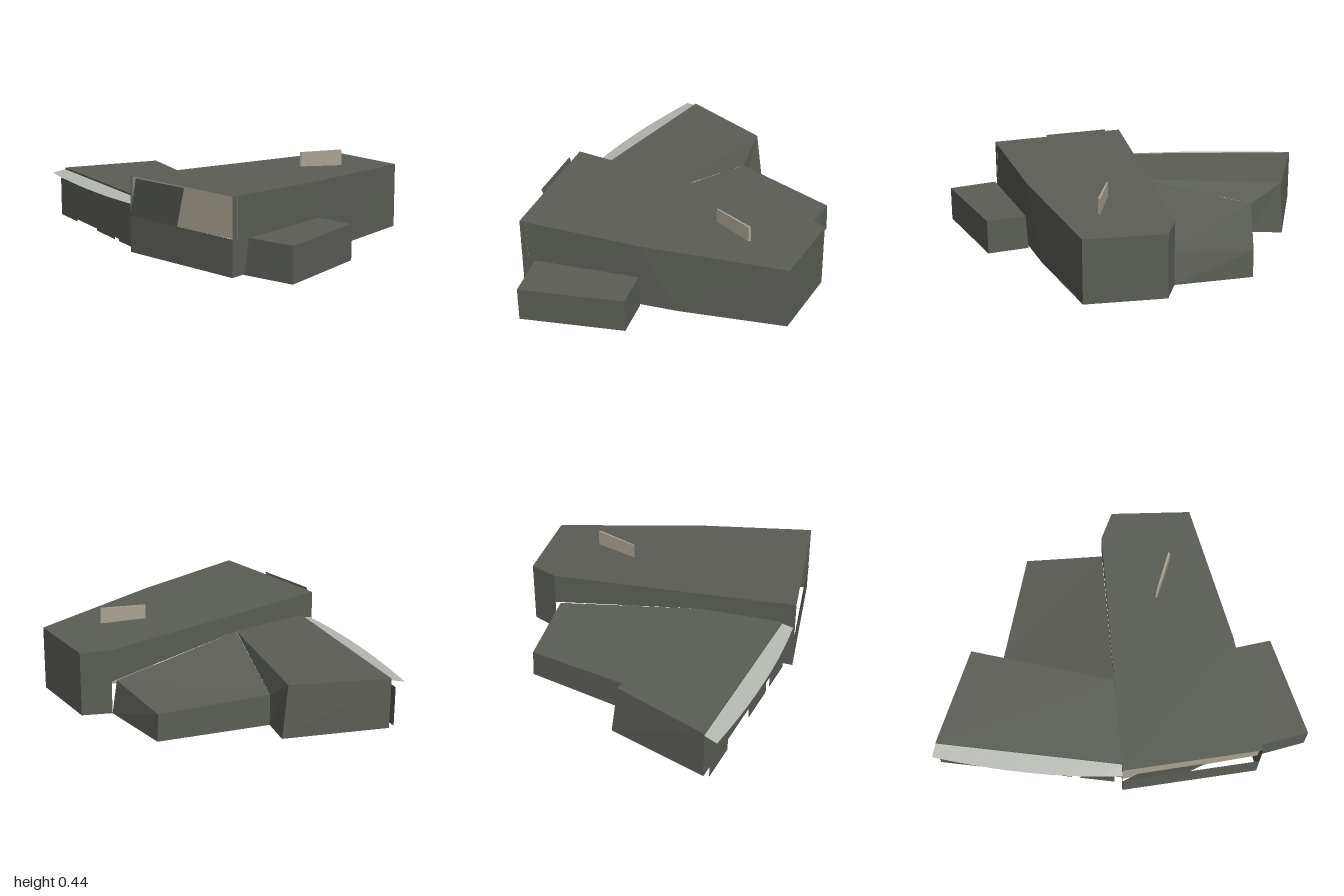
import * as THREE from 'three';

const paint = (name, color) => {
  const m = new THREE.MeshStandardMaterial({ color, side: THREE.DoubleSide });
  m.name = name;
  return m;
};

// Flat polygons, fan-triangulated, listed counter-clockwise from outside
function surface(name, material, polygons) {
  const pos = [];
  for (const p of polygons)
    for (let i = 1; i < p.length - 1; i++) pos.push(...p[0], ...p[i], ...p[i + 1]);
  const g = new THREE.BufferGeometry();
  g.setAttribute('position', new THREE.Float32BufferAttribute(pos, 3));
  g.computeVertexNormals();
  const mesh = new THREE.Mesh(g, material);
  mesh.name = name;
  return mesh;
}

// Upright wall between two plan points [x, z]
const wall = (a, b, y0, ya, yb = ya) =>
  [[a[0], y0, a[1]], [b[0], y0, b[1]], [b[0], yb, b[1]], [a[0], ya, a[1]]];

export function createModel() {
  const dark = paint('dark grey cladding', 0x5b5d56);
  const beige = paint('beige panel', 0xaaa293);
  const pale = paint('pale canopy', 0xb6b8b2);

  const model = new THREE.Group();
  model.name = 'building';
  const add = (...a) => model.add(surface(...a));

  // Tall hall with a roof falling gently to the back
  const ry = z => 0.35 + 0.05 * (z + 0.75) / 1.48;
  const up = ([x, z]) => [x, ry(z), z];
  const FL = [0, 0.73], FR = [0.73, 0.64], K = [0.61, 0], BR = [0.41, -0.75];
  const BL = [-0.02, -0.75], ML = [-0.08, -0.6];
  const J = [-0.03, 0.2, 0.28];
  const kinkBase = [0.56, 0, -0.2], frBase = [0.73, 0, 0.64];
  add('hallRoof', dark, [[FL, FR, K, BR, BL, ML].map(up)]);
  add('hallWalls', dark, [
    wall(FL, FR, 0, 0.19),
    [frBase, up(K), up(FR)],
    [frBase, kinkBase, up(K)],
    [kinkBase, [0.41, 0, -0.75], up(BR), up(K)],
    wall(BR, BL, 0, ry(-0.75)),
    wall(BL, ML, 0, ry(-0.75), ry(-0.6)),
    wall([0, 0.66], FL, 0, 0.4),
    [[-0.08, 0.18, -0.6], [-0.03, 0.28, 0.2], up([-0.03, 0.2]), up(ML)],
    [[-0.03, 0.28, 0.2], [0, 0.275, 0.66], up([0, 0.66]), up([-0.03, 0.2])],
  ]);

  // Recessed clerestory panel and the leaning plate before it
  add('clerestoryPanel', beige, [wall([0, 0.715], [0.725, 0.605], 0.18, 0.395)]);
  add('leaningPlate', dark, [
    [[0, 0.19, 0.732], [0.35, 0.19, 0.69], [0.43, 0.4, 0.703], [0.08, 0.4, 0.748]],
  ]);

  // Thin chimney slab, widening towards the ground
  const fin = (y, spread) => [
    [0.205 - spread * 0.4, y, -0.235 + spread], [0.215 - spread * 0.4, y, -0.24 + spread],
    [0.29, y, -0.46], [0.28, y, -0.47],
  ];
  const f0 = fin(0, 0.05), f1 = fin(0.36, 0), f2 = fin(0.445, 0);
  const finFaces = [f2];
  for (const [lo, hi] of [[f0, f1], [f1, f2]])
    for (let i = 0; i < 4; i++) {
      const j = (i + 1) % 4;
      finFaces.push([lo[i], lo[j], hi[j], hi[i]]);
    }
  add('chimneySlab', beige, finFaces);

  // Front wing
  const WL = [-0.98, 0.52], WR = [0, 0.66];
  const wingTop = [-0.795, 0.285, 0.015], wingBase = [-0.8, 0, -0.02];
  const C = [-0.63, 0.17, 0.02];
  add('wingRoof', dark, [
    [[-0.98, 0.275, 0.52], [0, 0.275, 0.66], [-0.03, 0.283, 0.2], wingTop],
  ]);
  add('wingWalls', dark, [
    wall(WL, WR, 0, 0.275),
    [wingBase, [-0.98, 0, 0.52], [-0.98, 0.275, 0.52], wingTop],
    [[-0.63, 0, 0.02], wingBase, wingTop, C],
    [C, wingTop, [-0.03, 0.283, 0.2]],
  ]);

  // Door plates standing just before the wing
  const frontZ = x => 0.66 + x * 0.143 + 0.03;
  for (const [a, b] of [[-0.98, -0.76], [-0.5, -0.27], [-0.225, -0.04]])
    add('doorPlate', dark, [wall([a, frontZ(a)], [b, frontZ(b)], 0.005, 0.22)]);

  // Curved canopy along the wing front
  const edge = new THREE.QuadraticBezierCurve(
    new THREE.Vector2(-1, 0.59), new THREE.Vector2(-0.46, 0.725), new THREE.Vector2(0, 0.72)).getPoints(10);
  const canopy = [];
  for (let i = 0; i < 10; i++) {
    const p = edge[i], q = edge[i + 1];
    const inner = t => [-0.98 + 0.98 * t, 0.265, 0.52 + 0.14 * t];
    canopy.push([[p.x, 0.25, p.y], [q.x, 0.25, q.y], inner((i + 1) / 10), inner(i / 10)]);
  }
  add('canopy', pale, canopy);

  // Low rear wing with a folded roof
  const A = [-0.08, 0.18, -0.57], B = [-0.5, 0.15, -0.565];
  add('rearRoof', dark, [[A, B, C], [A, C, J.length ? [J[0], J[2], J[1]] : C]]);
  add('rearWalls', dark, [
    [[-0.08, 0, -0.6], [-0.5, 0, -0.57], B, A],
    [[-0.5, 0, -0.57], [-0.63, 0, 0.02], C, B],
  ]);

  // Low side annex, its inner wall leaning away from the hall
  const base = [[0.72, 0.56], [1, 0.49], [0.83, -0.04], [0.61, 0]];
  const top = [[0.745, 0.55], [1, 0.49], [0.83, -0.04], [0.62, 0]];
  const lo = base.map(([x, z]) => [x, 0, z]), hi = top.map(([x, z]) => [x, 0.187, z]);
  add('annexRoof', dark, [hi]);
  add('annexWalls', dark, lo.map((p, i) => {
    const j = (i + 1) % 4;
    return [p, lo[j], hi[j], hi[i]];
  }));

  return model;
}
